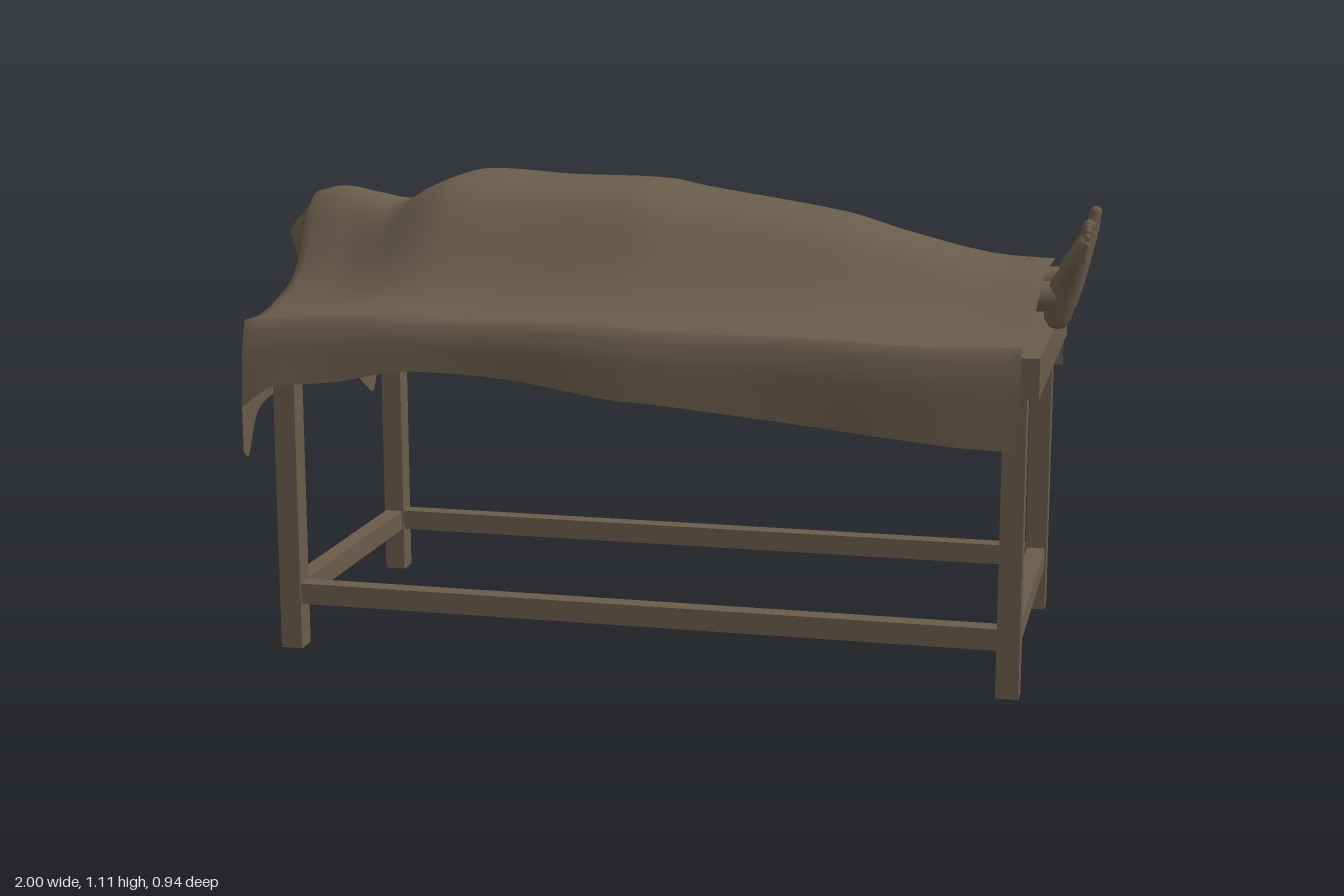
import * as THREE from 'three';

const brown = new THREE.MeshStandardMaterial({ color: 0x6a5c4a, side: THREE.DoubleSide });
brown.name = 'umber brown';

const lerp = THREE.MathUtils.lerp;
const bell = (d, w) => Math.exp(-((d / w) ** 2));

// Smoothly interpolate a table of rows [key, a, b, ...] sorted by key
function sample(rows, key) {
  const n = rows.length;
  const k = THREE.MathUtils.clamp(key, rows[0][0], rows[n - 1][0]);
  let i = 0;
  while (i < n - 2 && k > rows[i + 1][0]) i++;
  const p0 = rows[i], p1 = rows[i + 1];
  const width = p1[0] - p0[0], t = (k - p0[0]) / width;
  const slope = (m, c) => {
    const a = rows[Math.max(m - 1, 0)], b = rows[Math.min(m + 1, n - 1)];
    return ((b[c] - a[c]) / (b[0] - a[0])) * width;
  };
  return p0.slice(1).map((v, j) => {
    const c = j + 1, t2 = t * t, t3 = t2 * t;
    return v * (2 * t3 - 3 * t2 + 1) + slope(i, c) * (t3 - 2 * t2 + t)
      + p1[c] * (3 * t2 - 2 * t3) + slope(i + 1, c) * (t3 - t2);
  });
}

// Smooth surface from rows of equally many points
function gridGeometry(rows, closed = false) {
  const n = rows[0].length, index = [];
  for (let i = 0; i < rows.length - 1; i++) {
    for (let j = 0; j < (closed ? n : n - 1); j++) {
      const a = i * n + j, b = i * n + ((j + 1) % n);
      index.push(a, b, a + n, b, b + n, a + n);
    }
  }
  const g = new THREE.BufferGeometry();
  g.setAttribute('position', new THREE.Float32BufferAttribute(rows.flat(2), 3));
  g.setIndex(index);
  g.computeVertexNormals();
  return g;
}

function add(parent, name, geometry, x = 0, y = 0, z = 0) {
  const mesh = new THREE.Mesh(geometry, brown);
  mesh.name = name;
  mesh.position.set(x, y, z);
  parent.add(mesh);
  return mesh;
}

function makeTable() {
  const table = new THREE.Group();
  table.name = 'table';
  const box = (name, x0, x1, y0, y1, z0, z1) =>
    add(table, name, new THREE.BoxGeometry(x1 - x0, y1 - y0, z1 - z0),
      (x0 + x1) / 2, (y0 + y1) / 2, (z0 + z1) / 2);
  box('tabletop', -0.9, 0.91, 0.695, 0.785, -0.42, 0.43);
  for (const x of [-0.88, 0.83]) {
    for (const z of [-0.39, 0.345]) box('tableLeg', x, x + 0.052, 0, 0.7, z, z + 0.055);
    box('endStretcher', x + 0.004, x + 0.048, 0.11, 0.16, -0.335, 0.345);
  }
  for (const z of [-0.385, 0.35]) box('sideStretcher', -0.83, 0.83, 0.11, 0.16, z, z + 0.045);
  return table;
}

// Sheet stations: x, ridge height, ridge z, half width, steepness, front hem, back hem
const stations = [
  [-0.93, 1.05, -0.05, 0.13, 2.5, 0.6, 0.6],
  [-0.86, 1.065, -0.05, 0.15, 2.5, 0.65, 0.65],
  [-0.78, 1.05, -0.05, 0.19, 2.7, 0.66, 0.67],
  [-0.69, 1.035, -0.045, 0.26, 3.5, 0.67, 0.68],
  [-0.6, 1.08, -0.04, 0.29, 4.5, 0.69, 0.69],
  [-0.52, 1.108, -0.04, 0.3, 5, 0.7, 0.69],
  [-0.3, 1.1, -0.04, 0.295, 5, 0.69, 0.69],
  [-0.05, 1.097, -0.03, 0.29, 5, 0.655, 0.69],
  [0.05, 1.08, -0.03, 0.285, 4.8, 0.65, 0.69],
  [0.4, 1.03, -0.02, 0.25, 4.2, 0.615, 0.67],
  [0.55, 0.99, -0.01, 0.24, 4, 0.6, 0.65],
  [0.75, 0.945, 0, 0.24, 4, 0.585, 0.62],
  [0.9, 0.935, 0, 0.24, 4, 0.58, 0.61],
];
// Hem of the cloth hanging over the head end: z, y
const headHem = [
  [-0.48, 0.52], [-0.42, 0.47], [-0.34, 0.5], [-0.24, 0.58], [-0.14, 0.615], [-0.06, 0.71],
  [0.02, 0.71], [0.08, 0.62], [0.2, 0.605], [0.34, 0.57], [0.42, 0.475], [0.48, 0.5],
];

function makeSheet() {
  const TOP = 48, SIDE = 7, ROWS = 80, FALL = 14, EDGE = 0.437;
  const rows = [];
  for (let i = 0; i <= ROWS; i++) {
    const x = lerp(0.9, -0.93, i / ROWS);
    const [ridge, mid, half, steep, hemF, hemB] = sample(stations, x);
    const flare = 0.022 * bell(x + 0.93, 0.16);
    const height = (z) => {
      const f = 1 / (1 + (Math.abs(z - mid) / half) ** steep);
      const folds = 0.006 * Math.sin(7 * x + 16 * z) * Math.sin(11 * z - 4 * x) * (1 - f * f);
      return 0.79 + (ridge - 0.79) * f + folds;
    };
    const row = [];
    // Front flap, top, back flap
    for (let j = -SIDE; j <= TOP + SIDE; j++) {
      const over = Math.max(-j, j - TOP, 0) / SIDE;
      const sign = j < TOP / 2 ? 1 : -1;
      let z = lerp(EDGE, -EDGE, THREE.MathUtils.clamp(j / TOP, 0, 1));
      let y = height(z);
      if (over) {
        const wave = 0.006 * Math.sin(9 * x + sign) * over;
        z += sign * (0.015 * Math.min(1, over * 3) + flare * over + wave);
        y = lerp(y, sign > 0 ? hemF : hemB, over);
      }
      const slant = 0.03 * Math.max(0, z) / 0.45 * THREE.MathUtils.smoothstep(x, 0.6, 0.9);
      row.push([x - slant, y, z]);
    }
    rows.push(row);
  }
  // Cloth falling from the head down past the table end
  const last = rows[ROWS];
  for (let k = 1; k <= FALL; k++) {
    const t = k / FALL;
    rows.push(last.map(([x, top, z]) => {
      const y = lerp(top, Math.min(sample(headHem, z)[0], top - 0.02), t);
      const head = 0.07 * bell(z + 0.05, 0.1) * bell(y - 0.95, 0.085) * Math.min(1, t * 4);
      const pleat = 0.008 * Math.sin(22 * z) * t;
      return [x - head - pleat - 0.006 * t, y, z];
    }));
  }
  return gridGeometry(rows);
}

// Closed tube of elliptical rings; ring(u) places a point from cos and sin
function loft(sections, place, sides = 20) {
  return gridGeometry(sections.map((s) => Array.from({ length: sides }, (_, j) => {
    const a = (j / sides) * Math.PI * 2;
    return place(s, Math.cos(a), Math.sin(a));
  })), true);
}

function makeFoot() {
  const foot = new THREE.Group();
  foot.name = 'foot';
  // Heel to ball: y, x, z, depth radius, width radius
  const sole = [
    [0.798, 0.922, 0.107, 0.004, 0.006], [0.802, 0.922, 0.107, 0.018, 0.021],
    [0.82, 0.922, 0.109, 0.03, 0.03], [0.86, 0.926, 0.115, 0.038, 0.034],
    [0.9, 0.937, 0.124, 0.037, 0.037], [0.94, 0.953, 0.136, 0.03, 0.042],
    [0.975, 0.968, 0.147, 0.023, 0.046], [1.0, 0.977, 0.154, 0.018, 0.045],
    [1.018, 0.981, 0.157, 0.011, 0.038], [1.022, 0.982, 0.157, 0.002, 0.01],
  ];
  add(foot, 'footBody', loft(sole, ([y, x, z, rx, rz], c, s) => [x + rx * c, y, z - rz * s]));
  // Ankle and shin: x, y, z, radius
  const shin = [
    [0.94, 0.878, 0.119, 0.02], [0.92, 0.876, 0.119, 0.034], [0.87, 0.872, 0.12, 0.035],
    [0.75, 0.87, 0.12, 0.044], [0.55, 0.875, 0.12, 0.055], [0.3, 0.885, 0.11, 0.06],
  ];
  add(foot, 'shin', loft(shin, ([x, y, z, r], c, s) => [x, y + r * c, z + r * s]));
  // Toes, big one on the inside
  for (let i = 0; i < 5; i++) {
    const r = i ? 0.0095 - i * 0.0005 : 0.014;
    const z = i ? 0.143 + i * 0.0145 : 0.13;
    const toe = add(foot, 'toe', new THREE.CapsuleGeometry(r, 0.035, 4, 10),
      0.984, 1.023 - i * i * 0.0022, z);
    toe.rotation.set(0.12, 0, -0.2);
  }
  return foot;
}

export function createModel() {
  const model = new THREE.Group();
  model.name = 'coveredBodyOnTable';
  model.add(makeTable());
  add(model, 'sheet', makeSheet());
  const right = makeFoot();
  right.name = 'rightFoot';
  const left = makeFoot();
  left.name = 'leftFoot';
  left.scale.z = -1;
  model.add(right, left);
  return model;
}
